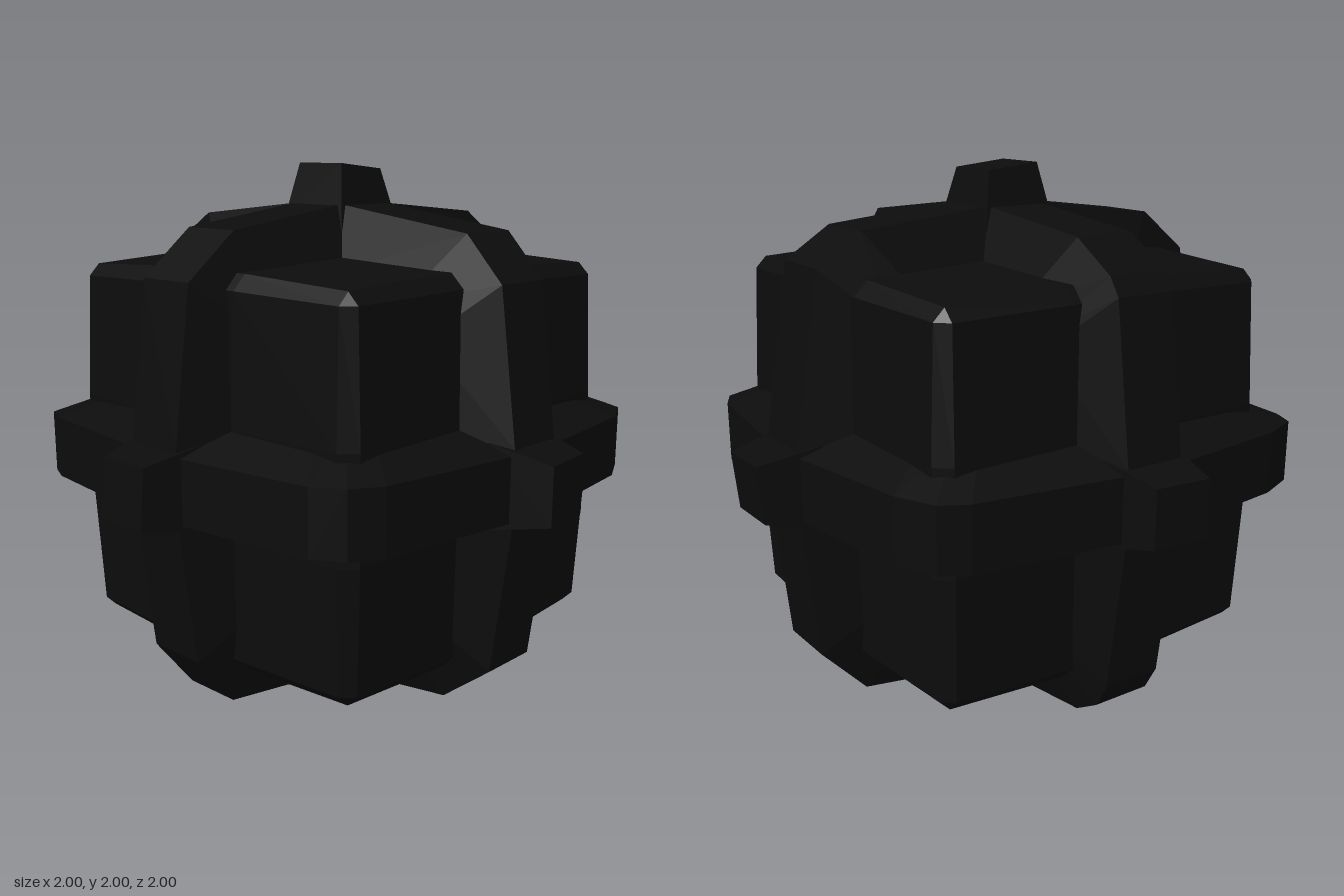
import * as THREE from 'three';
import { ConvexGeometry } from 'three/addons/geometries/ConvexGeometry.js';

// Outline of each ring, counter-clockwise in its own plane, centred on the origin
const uprightSide = [
  [.86, .13], [.765, .71], [.6, .815], [.13, .86], [-.13, .86], [-.6, .8], [-.79, .65], [-.86, .13],
  [-.86, -.13], [-.8, -.6], [-.65, -.79], [-.13, -.86], [.13, -.86], [.64, -.79], [.81, -.61], [.86, -.13],
];
const uprightFront = [
  [.86, .13], [.79, .64], [.65, .79], [.13, .86], [-.13, .86], [-.59, .81], [-.75, .71], [-.79, .65], [-.86, .13],
  [-.86, -.13], [-.79, -.65], [-.74, -.74], [-.64, -.8], [-.13, -.86], [.13, -.86], [.6, -.8], [.79, -.65], [.86, -.13],
];
const level = [
  [-.13, .86], [-.6, .8], [-.75, .74], [-.79, .65], [-.86, .13], [-.86, -.11], [-.8, -.63], [-.74, -.73], [-.64, -.79],
  [-.13, -.86], [.13, -.86], [.6, -.8], [.74, -.73], [.79, -.63], [.86, -.12], [.86, .13], [.79, .6], [.73, .74], [.64, .79], [.13, .86],
];

// Closed band with a trapezoid section: narrow outside, wide where it meets the body
function ringGeometry(outline, place) {
  const section = [[1, .11], [1, -.11], [.72, -.21], [.72, .21]];
  const positions = [], index = [], n = outline.length;
  outline.forEach(([a, b], i) => {
    const j = (i + 1) % n;
    section.forEach(([s, c], k) => {
      positions.push(...place(a * s, b * s, c));
      const m = (k + 1) % 4;
      index.push(i * 4 + m, j * 4 + m, j * 4 + k, i * 4 + m, j * 4 + k, i * 4 + k);
    });
  });
  const g = new THREE.BufferGeometry();
  g.setAttribute('position', new THREE.Float32BufferAttribute(positions, 3));
  g.setIndex(index);
  const flat = g.toNonIndexed();
  flat.computeVertexNormals();
  return flat;
}

// Bulging cube with softened edges and corners
function bodyGeometry() {
  const points = [];
  for (const x of [-1, 1]) for (const y of [-1, 1]) for (const z of [-1, 1]) {
    const add = (a, b, c) => points.push(new THREE.Vector3(a * x, b * y, c * z));
    for (const [p, q, r] of [[.69, .18, .18], [.67, .18, .62], [.67, .62, .18], [.65, .61, .61]]) {
      add(p, q, r);
      add(r, p, q);
      add(q, r, p);
    }
  }
  return new ConvexGeometry(points);
}

// Four-sided stud pointing up, its top slightly slanted
function studGeometry() {
  const points = [];
  for (const x of [-1, 1]) for (const z of [-1, 1]) {
    points.push(new THREE.Vector3(x * .145, .78, z * .145));
    points.push(new THREE.Vector3(x * .1, .99 - x * .01, z * .1));
  }
  return new ConvexGeometry(points);
}

export function createModel() {
  const group = new THREE.Group();
  const material = new THREE.MeshStandardMaterial({ color: 0x0c0c0c, flatShading: true });
  const add = (name, geometry) => {
    const mesh = new THREE.Mesh(geometry, material);
    mesh.name = name;
    mesh.position.y = 1;
    group.add(mesh);
    return mesh;
  };

  add('body', bodyGeometry());

  // Three crossing rings
  add('sideToSideRing', ringGeometry(uprightSide, (a, b, c) => [a, b, c]));
  add('frontToBackRing', ringGeometry(uprightFront, (a, b, c) => [-c, b, a]));
  add('levelRing', ringGeometry(level, (a, b, c) => [a, c, -b]));

  // A stud on every crossing
  const stud = studGeometry();
  const h = Math.PI / 2;
  const studs = {
    topStud: [0, 0, 0], bottomStud: [0, 0, 2 * h],
    leftStud: [0, 0, -h], rightStud: [0, 0, h],
    frontStud: [h, 0, 0], backStud: [-h, 0, 0],
  };
  for (const [name, turn] of Object.entries(studs)) add(name, stud).rotation.set(...turn);

  return group;
}
